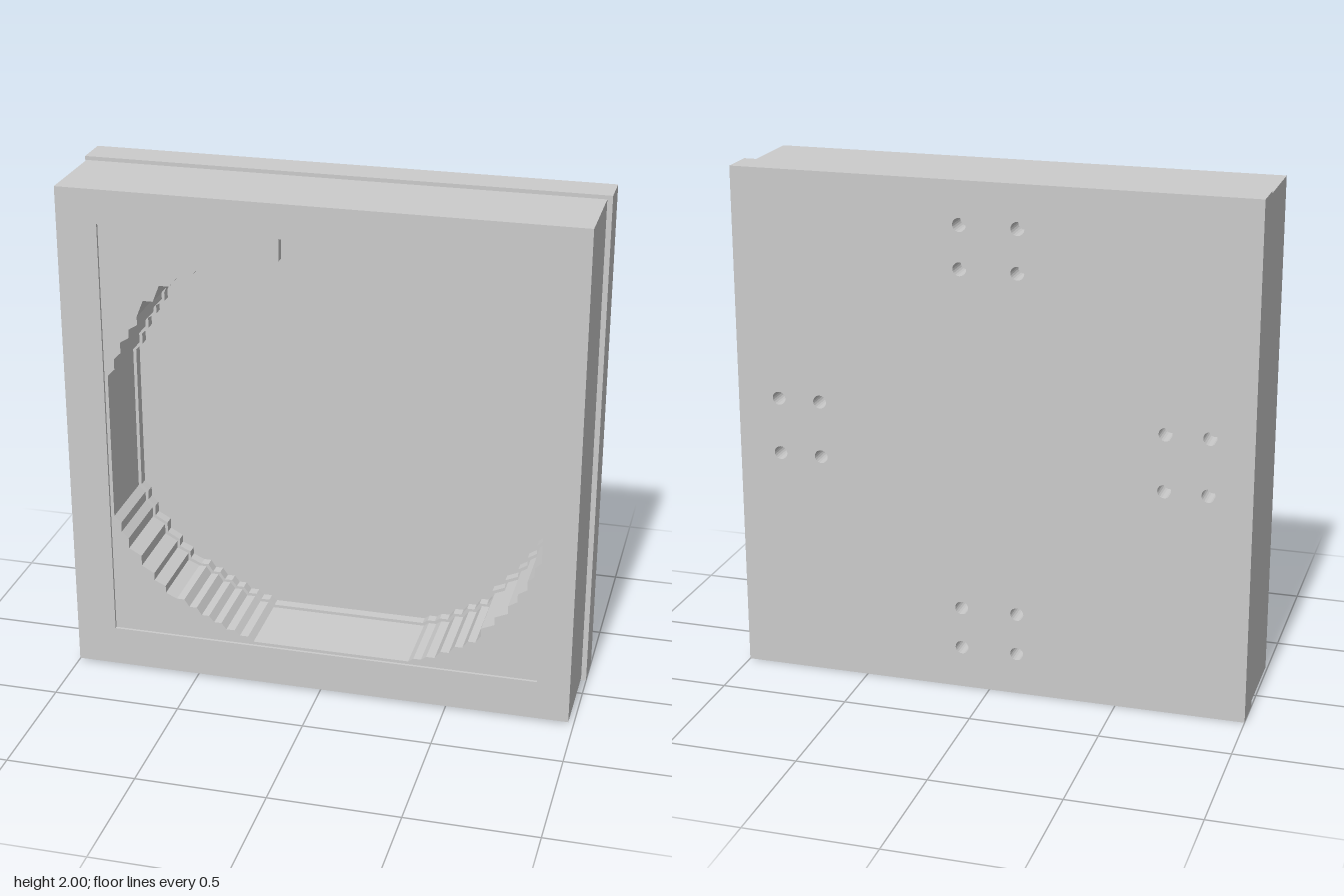
import * as THREE from 'three';

const material = new THREE.MeshStandardMaterial({ color: 0xcccccc, flatShading: true });

const points = (list) => list.map(([x, y]) => new THREE.Vector2(x, y));
const rect = (x0, y0, x1, y1) => [[x0, y0], [x1, y0], [x1, y1], [x0, y1]];

// Extruded slab between two depths, with cut-outs
function slab(name, outline, holes, z0, z1) {
  const shape = new THREE.Shape(points(outline));
  for (const h of holes) shape.holes.push(new THREE.Path(points(h)));
  const geometry = new THREE.ExtrudeGeometry(shape, { depth: z1 - z0, bevelEnabled: false });
  geometry.translate(0, 0, z0);
  const mesh = new THREE.Mesh(geometry, material);
  mesh.name = name;
  return mesh;
}

// Breaks a curved corner into small uneven stair steps
function stepped(corner) {
  const out = [corner[0]];
  for (let i = 1; i < corner.length; i++) {
    const [ax, ay] = corner[i - 1], [bx, by] = corner[i];
    const steep = Math.abs(by - ay) > Math.abs(bx - ax);
    for (let k = 1; k <= 2; k++) {
      const t = k / 2, s = t - 0.2;
      const x = ax + (bx - ax) * t, y = ay + (by - ay) * t;
      const px = ax + (bx - ax) * (t - 0.5), py = ay + (by - ay) * (t - 0.5);
      // straight tread, then a short slanted riser
      out.push(steep ? [px, ay + (by - ay) * s] : [ax + (bx - ax) * s, py]);
      out.push([x, y]);
    }
  }
  return out;
}

const topRight = [[0.85, 1.27], [0.79, 1.41], [0.75, 1.48], [0.62, 1.61], [0.52, 1.67], [0.38, 1.73], [0.24, 1.765]];
const topLeft = [[-0.22, 1.765], [-0.31, 1.74], [-0.42, 1.7], [-0.57, 1.63], [-0.7, 1.5], [-0.77, 1.39], [-0.825, 1.25]];
const bottomLeft = [[-0.825, 0.7], [-0.77, 0.57], [-0.67, 0.43], [-0.58, 0.33], [-0.48, 0.27], [-0.38, 0.22], [-0.27, 0.18]];
const bottomRight = [[0.32, 0.18], [0.42, 0.21], [0.53, 0.27], [0.63, 0.33], [0.73, 0.44], [0.8, 0.55], [0.85, 0.67]];

// Rounded opening, optionally with another top right corner
const opening = (corner = stepped(topRight)) =>
  [...corner, ...stepped(topLeft), ...stepped(bottomLeft), ...stepped(bottomRight)];

export function createModel() {
  const model = new THREE.Group();
  model.name = 'squareFrame';

  // Back plate with four groups of blind screw holes
  const screwHoles = [];
  for (let q = 0; q < 4; q++) {
    const a = q * Math.PI / 2, c = Math.cos(a), s = Math.sin(a);
    for (const u of [0.67, 0.835]) for (const v of [-0.11, 0.11]) {
      const cx = u * c - v * s, cy = 1 + u * s + v * c;
      screwHoles.push(Array.from({ length: 20 }, (_, i) => {
        const t = i / 20 * Math.PI * 2;
        return [cx + 0.026 * Math.cos(t), cy + 0.026 * Math.sin(t)];
      }));
    }
  }
  const plate = rect(-1, 0, 1, 2);
  model.add(slab('drilledBackPlate', plate, screwHoles, -0.24, -0.14));
  model.add(slab('backPlate', plate, [], -0.14, -0.1));

  // Frame body: a slightly narrower lip at the back, then the main wall
  const outer = rect(-0.995, 0.01, 0.98, 1.985);
  const lip = opening().map(([x, y]) => [0.0125 + (x - 0.0125) * 0.985, 0.975 + (y - 0.975) * 0.985]);
  model.add(slab('rearLip', outer, [lip], -0.1, -0.06));
  model.add(slab('frameBody', outer, [opening()], -0.06, 0.13));

  // Stepped pocket in the top right corner, wider towards the front
  const head = topRight.slice(0, 2);
  const tail = stepped(topRight.slice(4));
  const pockets = [
    [...stepped(topRight.slice(0, 3)), [0.735, 1.495], [0.735, 1.615], [0.612, 1.615], ...tail],
    [...stepped(head), [0.76, 1.465], [0.76, 1.69], [0.49, 1.69], ...tail.slice(2)],
    [...stepped(head), [0.79, 1.85], [-0.15, 1.85], [-0.15, 1.765]],
  ];
  pockets.forEach((corner, i) =>
    model.add(slab('pocketStep' + (i + 1), outer, [opening(corner)], 0.13 + i * 0.033, 0.13 + (i + 1) * 0.033)));

  // Raised border around the shallow square recess
  model.add(slab('frontBorder', outer, [rect(-0.838, 0.168, 0.853, 1.853)], 0.229, 0.24));
  return model;
}
